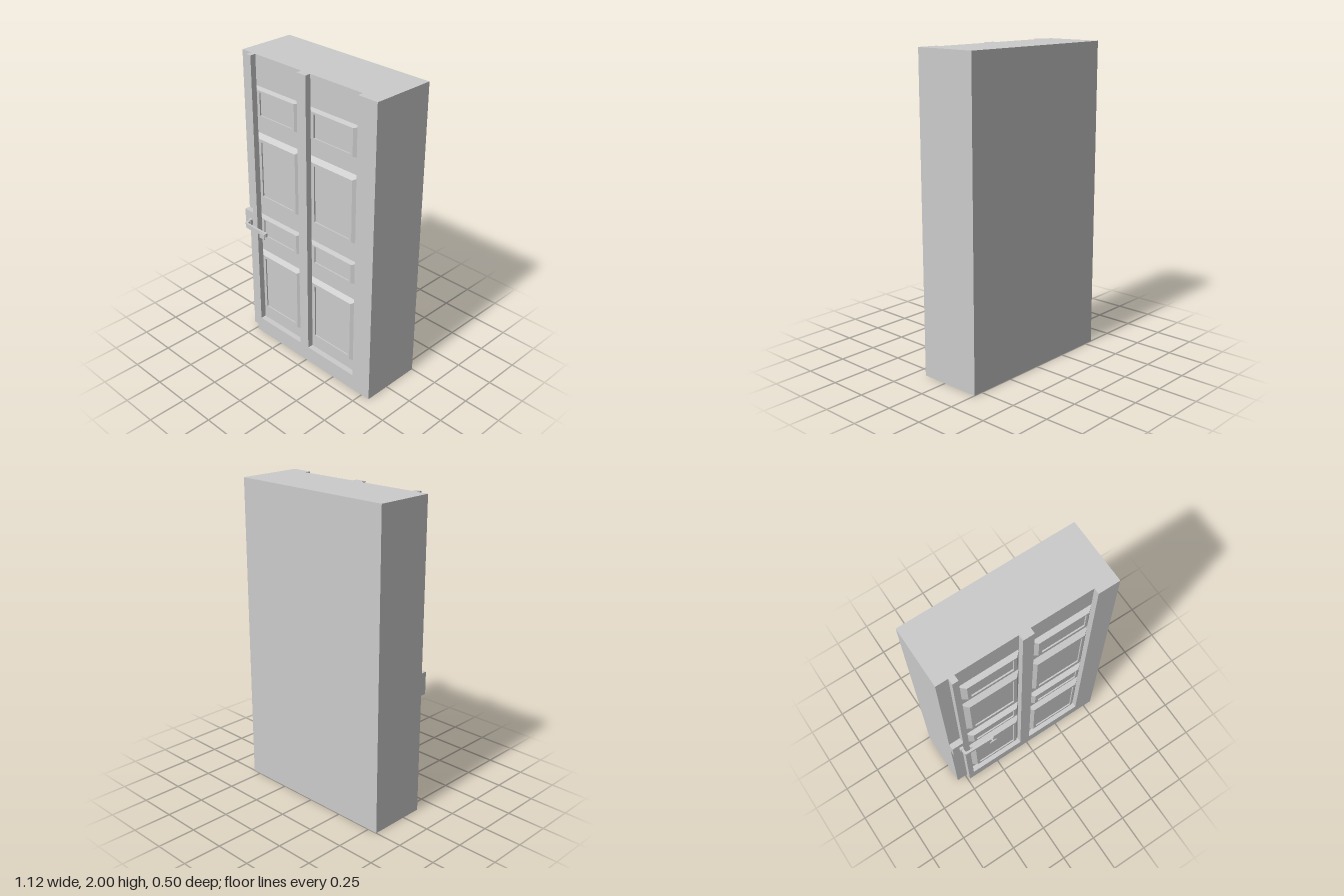
import * as THREE from 'three';

const BACK = -0.25, RECESS = 0.132, FACE = 0.17;
const material = new THREE.MeshStandardMaterial({ color: 0xcccccc, flatShading: true });

function add(parent, name, geometry, x = 0, y = 0, z = 0) {
  const mesh = new THREE.Mesh(geometry, material);
  mesh.name = name;
  mesh.position.set(x, y, z);
  parent.add(mesh);
  return mesh;
}

// Box given by its limits on each axis
function block(parent, name, [x0, x1], [y0, y1], [z0, z1]) {
  return add(parent, name, new THREE.BoxGeometry(x1 - x0, y1 - y0, z1 - z0),
    (x0 + x1) / 2, (y0 + y1) / 2, (z0 + z1) / 2);
}

// Extrudes a plan outline (x, z) upwards from y0 to y1
function extrudePlan(shape, y0, y1, curveSegments = 8) {
  const geometry = new THREE.ExtrudeGeometry(shape, { depth: y1 - y0, bevelEnabled: false, curveSegments });
  return geometry.rotateX(Math.PI / 2).translate(0, y1, 0);
}

// Stepped panel from nested rectangles [x0, x1, y0, y1, z], outermost first
function panelGeometry(rings) {
  const positions = [], index = [];
  rings.forEach(([x0, x1, y0, y1, z], r) => {
    positions.push(x0, y0, z, x1, y0, z, x1, y1, z, x0, y1, z);
    if (r === 0) return;
    for (let i = 0; i < 4; i++) {
      const j = (i + 1) % 4, a = (r - 1) * 4, b = r * 4;
      index.push(a + i, a + j, b + j, a + i, b + j, b + i);
    }
  });
  const c = (rings.length - 1) * 4;
  index.push(c, c + 1, c + 2, c, c + 2, c + 3);
  const indexed = new THREE.BufferGeometry();
  indexed.setAttribute('position', new THREE.Float32BufferAttribute(positions, 3));
  indexed.setIndex(index);
  const geometry = indexed.toNonIndexed();
  geometry.computeVertexNormals();
  return geometry;
}

export function createModel() {
  const model = new THREE.Group();
  model.name = 'panelledDoor';

  // Body: plan with a recessed lock edge and two channels between the stiles
  const plan = new THREE.Shape([
    [-0.563, BACK], [0.56, BACK], [0.56, FACE],
    [0.42, FACE], [0.42, RECESS], [0.018, RECESS], [0.018, FACE],
    [-0.055, FACE], [-0.055, RECESS], [-0.447, RECESS], [-0.447, FACE],
    [-0.485, FACE], [-0.485, RECESS], [-0.563, RECESS],
  ].map(([x, z]) => new THREE.Vector2(x, z)));
  add(model, 'doorBody', extrudePlan(plan, 0, 2));

  // Columns: outer, raised and inner x limits
  const columns = [
    { side: 'right', outer: [-0.447, -0.055], raised: [-0.405, -0.087], inner: [-0.385, -0.108] },
    { side: 'left', outer: [0.018, 0.42], raised: [0.055, 0.383], inner: [0.077, 0.367] },
  ];
  // Rows: outer, raised and inner y limits
  const rows = [
    { outer: [1.615, 1.805], raised: [1.624, 1.797], inner: [1.636, 1.785] },
    { outer: [1.05, 1.5], raised: [1.075, 1.477], inner: [1.085, 1.457] },
    { outer: [0.782, 0.925], raised: [0.788, 0.918], inner: [0.797, 0.909] },
    { outer: [0.2, 0.655], raised: [0.217, 0.637], inner: [0.24, 0.617] },
  ];
  for (const c of columns) {
    block(model, c.side + 'BottomRail', c.outer, [0, 0.11], [RECESS - 0.01, FACE]);
    rows.forEach((r, i) => add(model, c.side + 'Panel' + (i + 1), panelGeometry([
      [...c.outer, ...r.outer, RECESS],
      [...c.raised, ...r.raised, 0.165],
      [...c.inner, ...r.inner, 0.165],
      [...c.inner, ...r.inner, 0.156],
    ])));
  }

  // Lock block on the recessed edge
  block(model, 'lockBlock', [-0.563, -0.485], [0.782, 0.927], [RECESS - 0.01, FACE]);

  // Handle: collar, bent lever and end plate
  const handle = new THREE.Group();
  handle.name = 'handle';
  model.add(handle);
  block(handle, 'handleCollar', [-0.517, -0.494], [0.834, 0.875], [FACE - 0.005, 0.187]);

  const lever = new THREE.Shape();
  lever.moveTo(-0.513, 0.185);
  lever.lineTo(-0.497, 0.185);
  lever.lineTo(-0.497, 0.2);
  lever.quadraticCurveTo(-0.497, 0.212, -0.482, 0.213);
  lever.lineTo(-0.301, 0.214);
  lever.lineTo(-0.301, 0.231);
  lever.lineTo(-0.485, 0.227);
  lever.quadraticCurveTo(-0.513, 0.227, -0.513, 0.2);
  lever.closePath();
  add(handle, 'lever', extrudePlan(lever, 0.842, 0.867));

  block(handle, 'endPost', [-0.32, -0.31], [0.847, 0.862], [0.229, 0.245]);
  block(handle, 'endPlate', [-0.337, -0.294], [0.837, 0.873], [0.244, 0.25]);

  return model;
}
